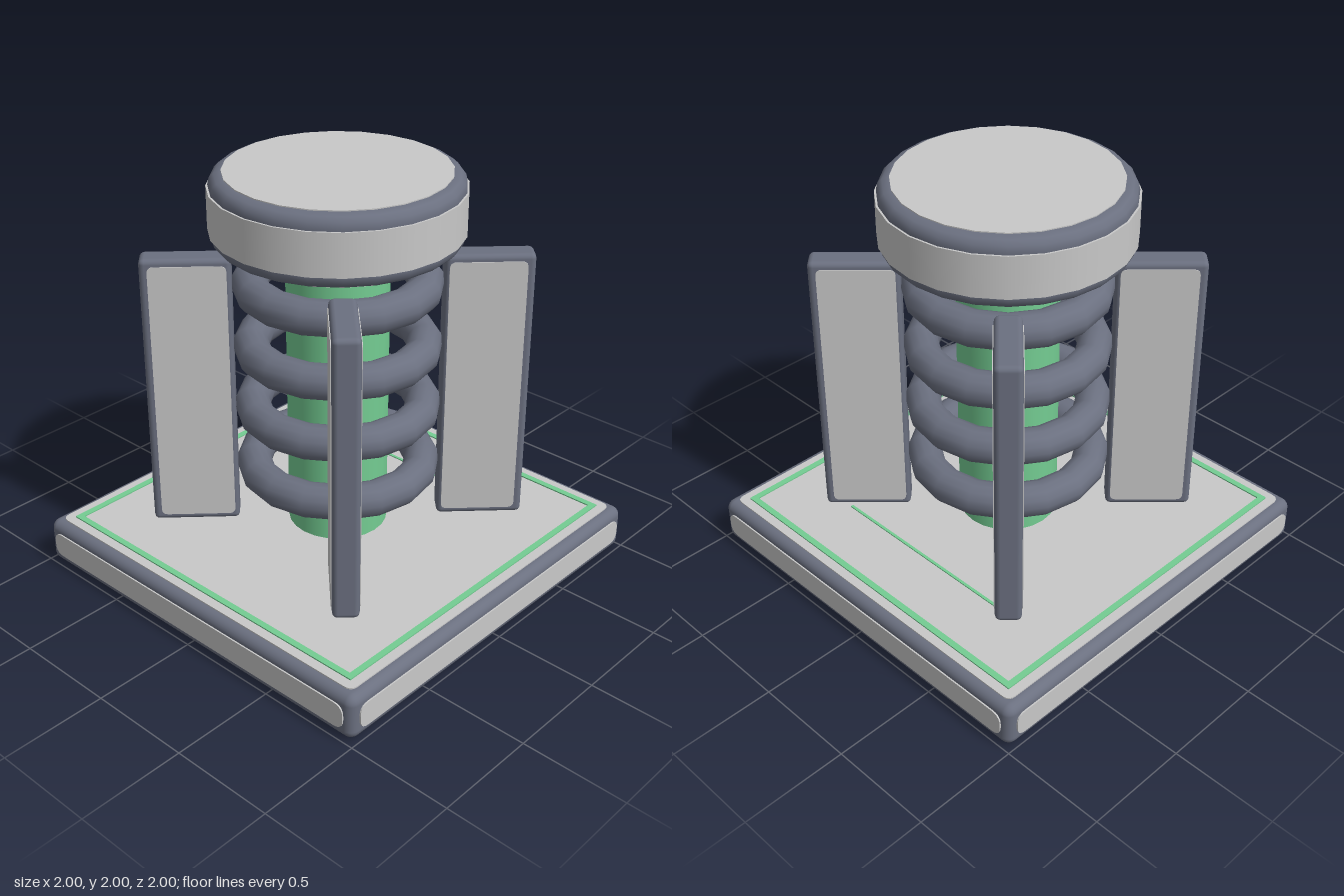
import * as THREE from 'three';
import { RoundedBoxGeometry } from 'three/addons/geometries/RoundedBoxGeometry.js';

const mat = (name, color) => {
  const m = new THREE.MeshStandardMaterial({ color });
  m.name = name;
  return m;
};

function add(parent, name, geometry, material, x = 0, y = 0, z = 0) {
  const mesh = new THREE.Mesh(geometry, material);
  mesh.name = name;
  mesh.position.set(x, y, z);
  parent.add(mesh);
  return mesh;
}

// Rounded rectangle outline, also used for holes
function roundedRect(w, h, r, Type = THREE.Shape) {
  const s = new Type(), x = w / 2, y = h / 2;
  s.moveTo(-x + r, -y);
  s.lineTo(x - r, -y); s.quadraticCurveTo(x, -y, x, -y + r);
  s.lineTo(x, y - r); s.quadraticCurveTo(x, y, x - r, y);
  s.lineTo(-x + r, y); s.quadraticCurveTo(-x, y, -x, y - r);
  s.lineTo(-x, -y + r); s.quadraticCurveTo(-x, -y, -x + r, -y);
  return s;
}

// Thin plate in the xy plane, rising along +z
const plate = (shape, depth = 0.009) =>
  new THREE.ExtrudeGeometry(shape, { depth, bevelEnabled: false, curveSegments: 5 });

export function createModel() {
  const model = new THREE.Group();
  model.name = 'coilPylon';
  const dark = mat('slate', 0x6b7080);
  const light = mat('paleGrey', 0xc8c8c8);
  const green = mat('green', 0x74cc92);

  // Square base with pale panels on every face
  const base = new THREE.Group();
  base.name = 'base';
  model.add(base);
  add(base, 'baseBlock', new RoundedBoxGeometry(1.984, 0.222, 1.984, 3, 0.045), dark, 0, 0.119, 0);
  const deck = roundedRect(1.89, 1.89, 0.04);
  add(base, 'deckPanel', plate(deck), light, 0, 0.227, 0).rotation.x = -Math.PI / 2;
  add(base, 'bottomPanel', plate(deck), light, 0, 0.009, 0).rotation.x = Math.PI / 2;
  for (let i = 0; i < 4; i++) {
    const side = new THREE.Group();
    side.name = 'baseSide';
    side.rotation.y = i * Math.PI / 2;
    base.add(side);
    add(side, 'sidePanel', plate(roundedRect(1.89, 0.12, 0.05)), light, 0, 0.12, 0.99);
  }

  // Green inlay around the deck and the short strip on its left
  const frame = roundedRect(1.8, 1.8, 0.002);
  frame.holes.push(roundedRect(1.74, 1.74, 0.002, THREE.Path));
  add(base, 'deckInlay', plate(frame, 0.008), green, 0, 0.234, 0).rotation.x = -Math.PI / 2;
  add(base, 'deckStrip', new THREE.BoxGeometry(0.014, 0.006, 1.0), green, 0.582, 0.238, 0);

  // Central column and its four coils
  add(model, 'column', new THREE.CylinderGeometry(0.237, 0.237, 1.46, 24), green, 0, 0.96, 0);
  const coil = new THREE.TorusGeometry(0.4, 0.083, 14, 16);
  coil.rotateX(Math.PI / 2);
  for (let i = 0; i < 4; i++) add(model, 'coil', coil, dark, 0, 0.545 + i * 0.307, 0);

  // Four diagonal fins with a pale panel on both sides
  const finGeo = new RoundedBoxGeometry(0.41, 1.355, 0.122, 2, 0.025);
  const finPanel = plate(roundedRect(0.352, 1.29, 0.03), 0.005);
  for (let i = 0; i < 4; i++) {
    const fin = new THREE.Group();
    fin.name = 'fin';
    fin.rotation.y = Math.PI / 4 + i * Math.PI / 2;
    model.add(fin);
    add(fin, 'finBody', finGeo, dark, 0.68, 0.928, 0);
    add(fin, 'finPanel', finPanel, light, 0.672, 0.928, 0.06);
    add(fin, 'finPanel', finPanel, light, 0.672, 0.928, -0.06).rotation.y = Math.PI;
  }

  // Round cap: rounded dark body, pale band, pale discs
  const cap = new THREE.Group();
  cap.name = 'cap';
  model.add(cap);
  const profile = [[0, 1.665], [0.505, 1.665], [0.54, 1.675], [0.56, 1.695], [0.567, 1.725],
    [0.567, 1.935], [0.56, 1.965], [0.54, 1.985], [0.505, 1.996], [0, 1.996]];
  add(cap, 'capBody', new THREE.LatheGeometry(profile.map(p => new THREE.Vector2(...p)), 24), dark);
  add(cap, 'capBand', new THREE.CylinderGeometry(0.576, 0.576, 0.2, 24), light, 0, 1.83, 0);
  const disc = new THREE.CylinderGeometry(0.508, 0.508, 0.009, 24);
  add(cap, 'capTopDisc', disc, light, 0, 1.9955, 0);
  add(cap, 'capBottomDisc', disc, light, 0, 1.6645, 0);
  return model;
}
